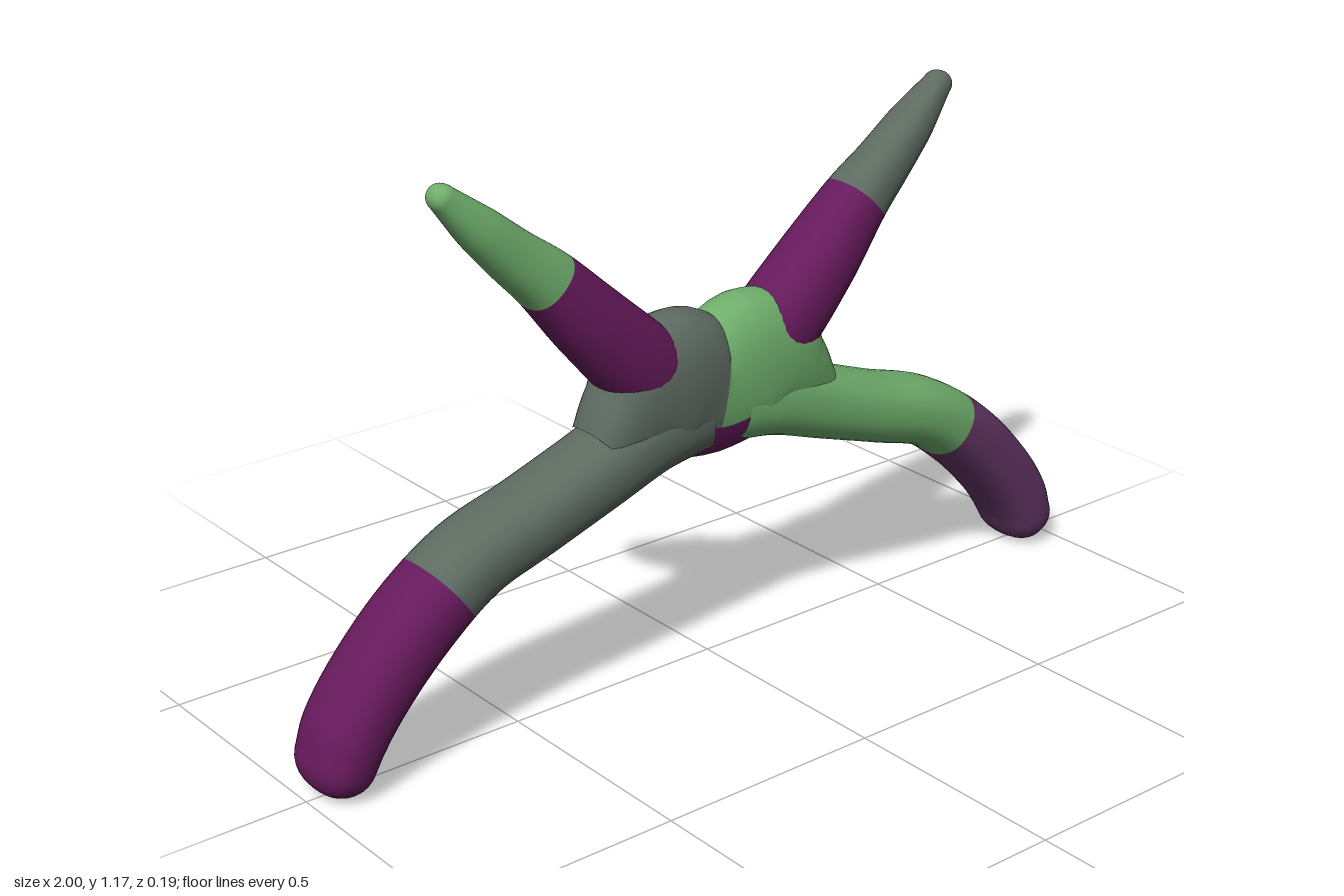
import * as THREE from 'three';

const SIDES = 32, STEPS = 48, CAP = 8;

// Sweeps a rounded section along stations [x, y, in-plane radius, depth radius].
// pick(centre, angle) returns [name, colour], splitting the skin into smooth-joined parts.
function sweep(stations, cap, pick) {
  const path = new THREE.CatmullRomCurve3(stations.map(([x, y]) => new THREE.Vector3(x, y, 0)));
  const size = new THREE.CatmullRomCurve3(stations.map(([, , r, d]) => new THREE.Vector3(r, d, 0)));
  const rings = [];
  for (let i = 0; i <= STEPS; i++) {
    const t = i / STEPS, s = size.getPoint(t);
    rings.push({ c: path.getPoint(t), t: path.getTangent(t), r: s.x, d: s.y });
  }
  // domed tip
  const end = rings[STEPS];
  for (let k = 1; cap && k <= CAP; k++) {
    const a = (k / CAP) * Math.PI / 2, w = Math.max(Math.cos(a), 0.001);
    rings.push({
      c: end.c.clone().addScaledVector(end.t, cap * Math.sin(a)),
      t: end.t, r: end.r * w, d: end.d * Math.pow(w, 0.8),
    });
  }
  // slightly squared oval sections
  const soft = (v) => Math.sign(v) * Math.pow(Math.abs(v), 0.85);
  const pos = [], index = [], parts = new Map();
  for (const { c, t, r, d } of rings) {
    for (let j = 0; j < SIDES; j++) {
      const a = (j / SIDES) * Math.PI * 2, u = soft(Math.cos(a)) * r;
      pos.push(c.x - t.y * u, c.y + t.x * u, soft(Math.sin(a)) * d);
    }
  }
  for (let i = 0; i < rings.length - 1; i++) {
    for (let j = 0; j < SIDES; j++) {
      const a = i * SIDES + j, b = i * SIDES + (j + 1) % SIDES;
      const quad = [a, b, a + SIDES, b, b + SIDES, a + SIDES];
      const [name, color] = pick(rings[i].c, ((j + 0.5) / SIDES) * Math.PI * 2);
      if (!parts.has(name)) parts.set(name, { color, list: [] });
      parts.get(name).list.push(...quad);
      index.push(...quad);
    }
  }
  const whole = new THREE.BufferGeometry();
  whole.setAttribute('position', new THREE.Float32BufferAttribute(pos, 3));
  whole.setIndex(index);
  whole.computeVertexNormals();
  const group = new THREE.Group();
  for (const [name, { color, list }] of parts) {
    const geo = new THREE.BufferGeometry();
    geo.setAttribute('position', whole.attributes.position);
    geo.setAttribute('normal', whole.attributes.normal);
    geo.setIndex(list);
    const mesh = new THREE.Mesh(geo, new THREE.MeshStandardMaterial({ color }));
    mesh.name = name;
    group.add(mesh);
  }
  return group;
}

const GREEN = 0x6fae6c, GREY = 0x5c6a60, PURPLE = 0x661a5c, MAUVE = 0x613463;

const LEG = [
  [0.05, 0.575, 0.09, 0.085], [0.16, 0.555, 0.085, 0.09], [0.3, 0.505, 0.08, 0.092],
  [0.46, 0.45, 0.077, 0.094], [0.61, 0.4, 0.077, 0.095], [0.74, 0.31, 0.08, 0.095],
  [0.85, 0.2, 0.078, 0.095], [0.905, 0.125, 0.075, 0.095], [0.928, 0.075, 0.069, 0.093],
];
const ARM = [
  [0.1, 0.63, 0.085, 0.08], [0.19, 0.715, 0.09, 0.089], [0.3, 0.825, 0.08, 0.085],
  [0.405, 0.935, 0.066, 0.07], [0.48, 1.0, 0.056, 0.06], [0.555, 1.07, 0.046, 0.052],
  [0.633, 1.145, 0.028, 0.032],
];
const BODY = [
  [-0.28, 0.55, 0.06, 0.07], [-0.22, 0.6, 0.1, 0.085], [-0.16, 0.637, 0.147, 0.092],
  [-0.09, 0.638, 0.163, 0.093], [0, 0.614, 0.146, 0.085], [0.09, 0.638, 0.163, 0.093],
  [0.16, 0.637, 0.147, 0.092], [0.22, 0.6, 0.1, 0.085], [0.28, 0.55, 0.06, 0.07],
];

export function createModel() {
  const model = new THREE.Group();
  model.name = 'branchingBody';
  const add = (name, part) => { part.name = name; model.add(part); };

  // central hub with two rounded humps on top
  add('hub', sweep(BODY, 0, (c, a) => {
    if (Math.cos(a) < -0.35 && c.x > -0.15) return ['hubUnderside', PURPLE];
    return c.x < -0.02 ? ['hubRightHalf', GREY] : ['hubLeftHalf', GREEN];
  }));

  // arched legs and raised tapering arms, mirrored
  for (const side of [1, -1]) {
    const flip = (list) => list.map(([x, ...rest]) => [x * side, ...rest]);
    const label = side > 0 ? 'left' : 'right';
    add(label + 'Leg', sweep(flip(LEG), 0.073, (c) => Math.abs(c.x) < 0.66
      ? [label + 'UpperLeg', side > 0 ? GREEN : GREY]
      : [label + 'LowerLeg', side > 0 ? MAUVE : PURPLE]));
    add(label + 'Arm', sweep(flip(ARM), 0.03, (c) => c.y < 0.93
      ? [label + 'ArmBase', PURPLE]
      : [label + 'ArmTip', side > 0 ? GREY : GREEN]));
  }
  return model;
}
